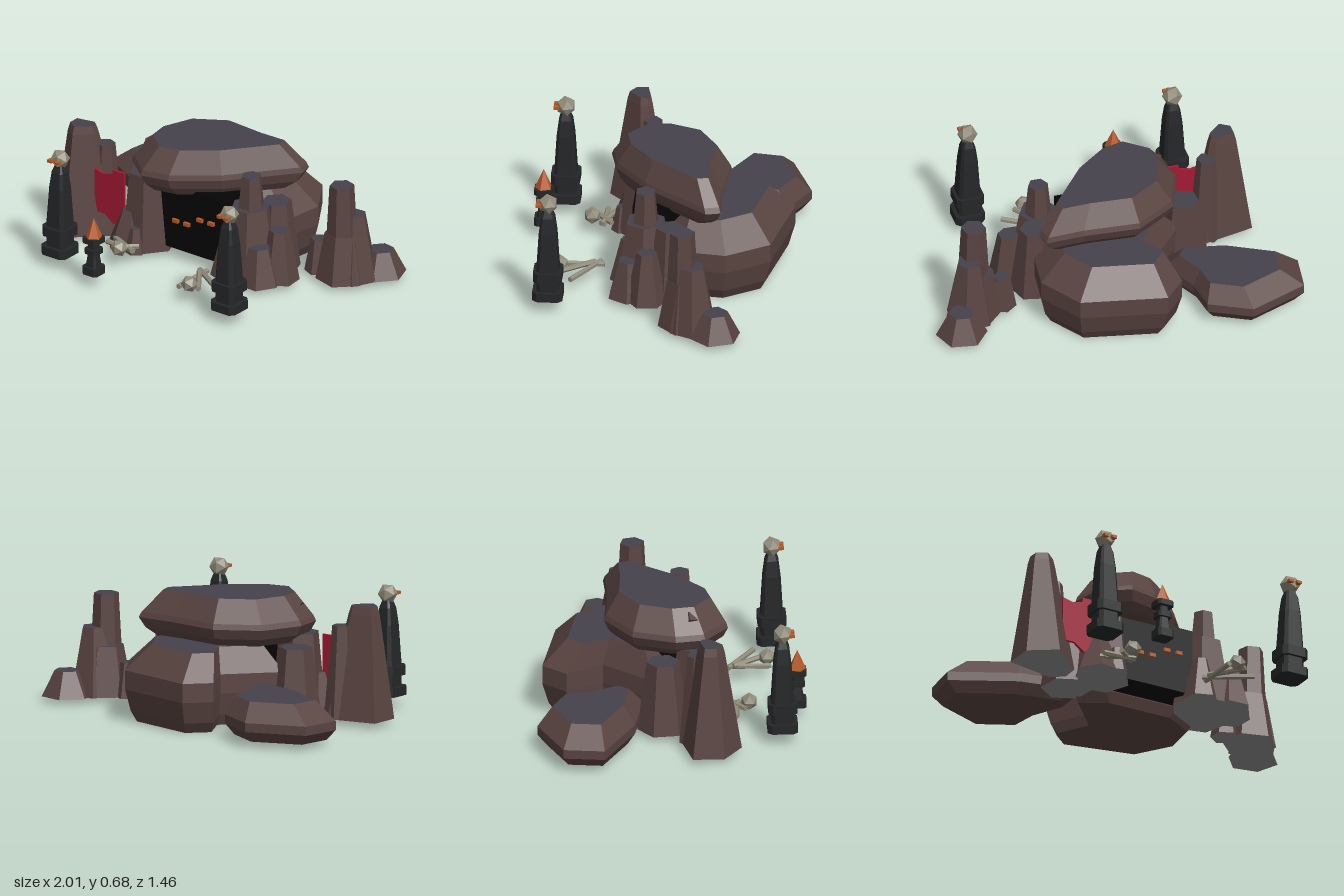
import * as THREE from 'three';

const mat = (color) => new THREE.MeshStandardMaterial({ color, flatShading: true, roughness: 0.9 });
const M = {
  rock: mat(0x594441), cap: mat(0x45424b), under: mat(0x8c8e8c), dark: mat(0x050505), stone: mat(0x242627),
  bone: mat(0x8f8a78), ember: mat(0xb85a26), cloth: mat(0xa31a34),
};

function add(parent, name, geometry, material, x = 0, y = 0, z = 0) {
  const mesh = new THREE.Mesh(geometry, material);
  mesh.name = name;
  mesh.position.set(x, y, z);
  parent.add(mesh);
  return mesh;
}

// Boulder: an outline [x, z] scaled about a centre at each layer [y, scale, dx, dz].
function boulder(parent, name, [cx, cz], outline, layers, bottom = M.rock) {
  const n = outline.length, pos = [];
  const at = ([y, s, dx = 0, dz = 0], i) => {
    const p = outline[i % n];
    return [cx + dx + (p[0] - cx) * s, y, cz + dz + (p[1] - cz) * s];
  };
  const mid = ([y, , dx = 0, dz = 0]) => [cx + dx, y, cz + dz];
  const first = layers[0], last = layers[layers.length - 1];
  for (let k = 0; k < layers.length - 1; k++) {
    for (let i = 0; i < n; i++) {
      const a = at(layers[k], i), b = at(layers[k], i + 1);
      const c = at(layers[k + 1], i), d = at(layers[k + 1], i + 1);
      pos.push(...a, ...c, ...b, ...b, ...c, ...d);
    }
  }
  const sides = pos.length / 3;
  for (let i = 0; i < n; i++) pos.push(...mid(last), ...at(last, i + 1), ...at(last, i));
  for (let i = 0; i < n; i++) pos.push(...mid(first), ...at(first, i), ...at(first, i + 1));
  const g = new THREE.BufferGeometry();
  g.setAttribute('position', new THREE.Float32BufferAttribute(pos, 3));
  g.addGroup(0, sides, 0);
  g.addGroup(sides, n * 3, 1);
  g.addGroup(sides + n * 3, n * 3, 2);
  g.computeVertexNormals();
  return add(parent, name, g, [M.rock, M.cap, bottom]);
}

// Tapered hexagonal rock pillar, normally standing at y = 0.03.
function pillar(parent, name, x, z, rBottom, rTop, top, yaw = 0, from = 0.03) {
  const g = new THREE.CylinderGeometry(rTop, rBottom, top - from, 6);
  const mesh = add(parent, name, g, [M.rock, M.cap, M.under], x, (top + from) / 2, z);
  mesh.rotation.y = yaw;
  return mesh;
}

// Square block with cut corners, width w0 at the bottom and w1 at the top.
function block(parent, name, w0, w1, y0, y1) {
  const g = new THREE.CylinderGeometry(1, 1, y1 - y0, 8);
  const p = g.attributes.position;
  for (let i = 0; i < p.count; i++) {
    if (Math.hypot(p.getX(i), p.getZ(i)) < 0.01) continue;
    const w = (p.getY(i) > 0 ? w1 : w0) / 2;
    const k = (Math.round((Math.atan2(p.getZ(i), p.getX(i)) + Math.PI / 8) / (Math.PI / 4)) + 8) % 8;
    const q = Math.floor(k / 2) * Math.PI / 2, t = k % 2 ? 0.7 : -0.7;
    p.setXYZ(i, w * (Math.cos(q) - t * Math.sin(q)), p.getY(i), w * (Math.sin(q) + t * Math.cos(q)));
  }
  g.computeVertexNormals();
  return add(parent, name, g, M.stone, 0, (y0 + y1) / 2, 0);
}

function group(parent, name, x = 0, z = 0) {
  const g = new THREE.Group();
  g.name = name;
  g.position.set(x, 0, z);
  parent.add(g);
  return g;
}

function obelisk(parent, x, z) {
  const g = group(parent, 'obelisk', x, z);
  block(g, 'base', 0.163, 0.163, 0.07, 0.12);
  block(g, 'plinth', 0.12, 0.12, 0.12, 0.185);
  block(g, 'collar', 0.155, 0.155, 0.18, 0.235);
  [[0.235, 0.122], [0.46, 0.096], [0.55, 0.074], [0.592, 0.045]].forEach(([y, w], i, s) => {
    if (i) block(g, 'shaft', s[i - 1][1], w, s[i - 1][0], y);
  });
  add(g, 'skull', new THREE.IcosahedronGeometry(0.055, 0), M.bone, 0, 0.625, 0).rotation.y = 0.3;
  for (const s of [-1, 1]) add(g, 'eye', new THREE.BoxGeometry(0.028, 0.016, 0.03), M.ember, s * 0.024, 0.625, 0.05);
}

function brazier(parent, x, z) {
  const g = group(parent, 'brazier', x, z);
  [[0.098, 0.098, 0.07, 0.115], [0.07, 0.05, 0.115, 0.19], [0.08, 0.08, 0.19, 0.22], [0.05, 0.05, 0.22, 0.255],
    [0.098, 0.098, 0.255, 0.285]].forEach((tier) => block(g, 'brazierTier', ...tier));
  add(g, 'flame', new THREE.ConeGeometry(0.048, 0.11, 5), M.ember, 0, 0.34, 0);
}

function bonePile(parent, bones, [sx, sz]) {
  const g = group(parent, 'bonePile');
  bones.forEach(([x0, z0, x1, z1], i) => {
    const bone = add(g, 'bone', new THREE.CylinderGeometry(0.015, 0.015, Math.hypot(x1 - x0, z1 - z0), 6),
      M.bone, (x0 + x1) / 2, 0.085 + i * 0.005, (z0 + z1) / 2);
    bone.quaternion.setFromUnitVectors(new THREE.Vector3(0, 1, 0), new THREE.Vector3(x1 - x0, 0, z1 - z0).normalize());
  });
  add(g, 'boneSkull', new THREE.IcosahedronGeometry(0.047, 0), M.bone, sx, 0.112, sz);
}

export function createModel() {
  const model = new THREE.Group();
  model.name = 'caveDen';

  // Main boulders
  boulder(model, 'roofBoulder', [-0.04, -0.04],
    [[-0.13, -0.35], [0.18, -0.325], [0.39, -0.33], [0.41, -0.25], [0.33, -0.15], [0.13, 0.1], [-0.1, 0.275],
      [-0.26, 0.31], [-0.42, 0.18], [-0.445, 0.02], [-0.36, -0.21]],
    [[0.42, 0.8], [0.465, 0.93], [0.52, 1], [0.55, 0.97], [0.675, 0.74]]);
  boulder(model, 'backBoulder', [0.05, -0.33],
    [[-0.3, -0.56], [-0.185, -0.685], [0.28, -0.59], [0.43, -0.36], [0.4, -0.12], [0.2, 0],
      [-0.25, 0], [-0.42, -0.1], [-0.19, -0.36]],
    [[0, 0.84, 0, 0.015], [0.06, 0.93, 0, 0.01], [0.18, 1], [0.285, 1], [0.425, 0.7, -0.03, 0.03]]);
  boulder(model, 'sideBoulder', [-0.66, -0.44],
    [[-1, -0.39], [-0.97, -0.61], [-0.65, -0.735], [-0.425, -0.62], [-0.4, -0.44], [-0.3, -0.23],
      [-0.36, -0.15], [-0.66, -0.21]],
    [[0.03, 0.83], [0.09, 1], [0.14, 1], [0.24, 0.72, 0.035, 0]]);
  const nub = add(model, 'roofNub', new THREE.BoxGeometry(0.05, 0.06, 0.06), M.rock, -0.34, 0.61, 0.11);
  nub.rotation.set(0.3, 0.4, 0.5);

  // Dark cave mouth with glowing eyes
  add(model, 'caveMouth', new THREE.BoxGeometry(0.44, 0.375, 0.32), M.dark, -0.02, 0.252, 0);
  for (const [x, y] of [[-0.13, 0.235], [-0.055, 0.235], [0.035, 0.285], [0.11, 0.285]])
    add(model, 'glowingEye', new THREE.BoxGeometry(0.038, 0.02, 0.025), M.ember, x, y, 0.165);

  // Left tower with its shoulder
  boulder(model, 'leftTower', [-0.73, 0.18],
    [[-0.89, 0.09], [-0.61, 0.03], [-0.54, 0.08], [-0.545, 0.18], [-0.74, 0.36], [-0.89, 0.26]],
    [[0.03, 1], [0.6, 0.43, -0.02, 0.01], [0.645, 0.36, -0.02, 0.01]], M.under);
  pillar(model, 'leftTowerShoulder', -0.64, 0.12, 0.095, 0.05, 0.535, 0.2);

  // Pillars: x, z, bottom radius, top radius, top, yaw, from
  const pillars = {
    leftPillar: [[-0.34, 0.13, 0.15, 0.11, 0.46, 0.4], [-0.46, -0.05, 0.14, 0.09, 0.42, 0.1],
      [-0.41, 0.2, 0.13, 0.05, 0.24, 0.7], [-0.33, 0.26, 0.06, 0.03, 0.17, 0.2]],
    rightPillar: [[0.31, 0.08, 0.18, 0.11, 0.42, 0.5], [0.315, 0.08, 0.075, 0.055, 0.6, 0.5, 0.4],
      [0.24, 0.18, 0.1, 0.04, 0.27, 0.2], [0.43, 0.16, 0.12, 0.06, 0.24, 0.5],
      [0.49, 0.06, 0.11, 0.055, 0.32, 0.1], [0.38, -0.06, 0.13, 0.08, 0.42, 0.3]],
    farRightTower: [[0.745, -0.17, 0.15, 0.1, 0.3, 0.25], [0.748, -0.155, 0.085, 0.067, 0.58, 0.25, 0.25],
      [0.785, -0.21, 0.14, 0.07, 0.4, 0.6], [0.87, -0.34, 0.14, 0.07, 0.17, 0.35],
      [0.59, -0.16, 0.08, 0.045, 0.22, 0.1]],
  };
  for (const [name, list] of Object.entries(pillars)) list.forEach((p) => pillar(model, name, ...p));

  // Torn cloth banner
  const cloth = new THREE.Shape([[-0.64, 0.42], [-0.58, 0.405], [-0.52, 0.42], [-0.515, 0.445], [-0.44, 0.445],
    [-0.44, 0.18], [-0.51, 0.125], [-0.57, 0.17], [-0.64, 0.17]].map(([x, y]) => new THREE.Vector2(x, y)));
  add(model, 'banner', new THREE.ExtrudeGeometry(cloth, { depth: 0.015, bevelEnabled: false }), M.cloth, 0, 0, 0.208);

  // Free-standing pieces in front
  obelisk(model, -0.592, 0.585);
  obelisk(model, 0.557, 0.585);
  brazier(model, -0.29, 0.68);
  bonePile(model, [[-0.46, 0.345, -0.27, 0.355], [-0.45, 0.285, -0.27, 0.37], [-0.27, 0.31, -0.38, 0.4]], [-0.32, 0.42]);
  bonePile(model, [[0.195, 0.31, 0.195, 0.565], [0.16, 0.33, 0.4, 0.48], [0.18, 0.36, 0.31, 0.54]], [0.255, 0.545]);
  return model;
}
